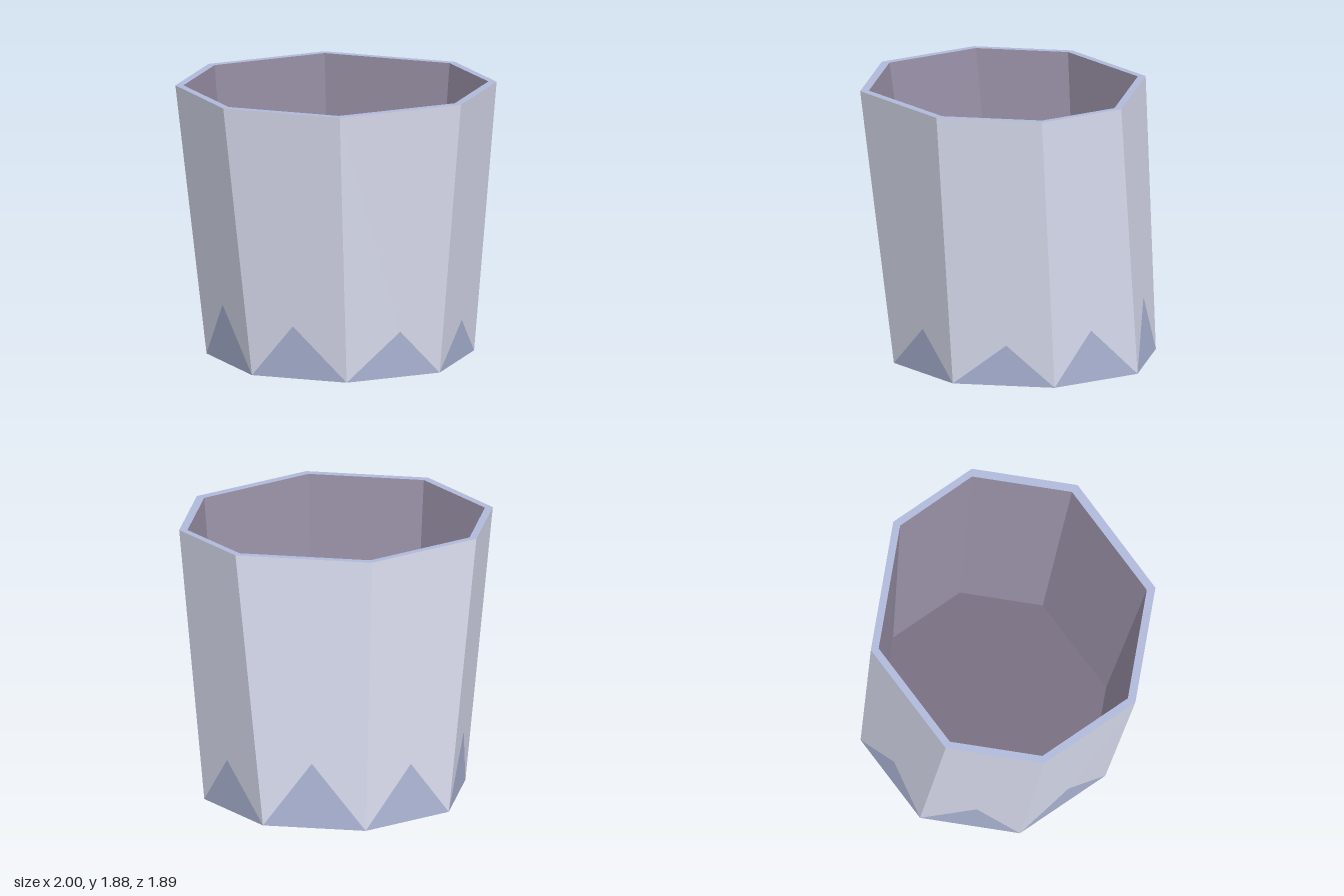
import * as THREE from 'three';

const TOP = 1.88, FLOOR = 0.05;

// Slightly irregular octagons as [x, z], starting at the front and turning towards +x
const ring = (points, y) => points.map(([x, z]) => new THREE.Vector3(x, y, z));
const outerTop = ring([[-0.47, 0.945], [0.36, 0.945], [1, 0.31], [1, -0.41], [0.54, -0.87], [-0.39, -0.87], [-1, -0.26], [-1, 0.41]], TOP);
const outerBottom = ring([[-0.345, 0.72], [0.33, 0.72], [0.82, 0.23], [0.82, -0.465], [0.34, -0.945], [-0.36, -0.945], [-0.845, -0.46], [-0.845, 0.22]], 0);
const innerTop = ring([[-0.45, 0.89], [0.335, 0.89], [0.945, 0.28], [0.945, -0.4], [0.52, -0.82], [-0.37, -0.82], [-0.95, -0.24], [-0.95, 0.39]], TOP);
const innerFloor = ring([[-0.41, 0.625], [0.26, 0.625], [0.77, 0.11], [0.77, -0.455], [0.38, -0.845], [-0.33, -0.83], [-0.83, -0.33], [-0.83, 0.2]], FLOOR);

// Peak of the painted triangle on each side: [fraction along the side, height]
const peaks = [[0.47, 0.37], [0.56, 0.32], [0.546, 0.285], [0.473, 0.36], [0.5, 0.45], [0.5, 0.4], [0.51, 0.44], [0.5, 0.42]];

function addPart(group, name, color, corners) {
  const geometry = new THREE.BufferGeometry().setFromPoints(corners);
  geometry.computeVertexNormals();
  const mesh = new THREE.Mesh(geometry, new THREE.MeshStandardMaterial({ color, flatShading: true }));
  mesh.name = name;
  group.add(mesh);
}

// Band of quads between two rings
function band(lower, upper) {
  return lower.flatMap((a, i) => {
    const j = (i + 1) % lower.length;
    return [a, lower[j], upper[j], a, upper[j], upper[i]];
  });
}

// Flat fan over a ring
function cap(points, down = false) {
  const out = [];
  for (let i = 1; i < points.length - 1; i++) {
    out.push(points[0], points[down ? i + 1 : i], points[down ? i : i + 1]);
  }
  return out;
}

export function createModel() {
  const group = new THREE.Group();
  group.name = 'planterPot';

  // Each outer side is split around its triangle peak
  const wall = [], triangles = [];
  peaks.forEach(([t, height], i) => {
    const j = (i + 1) % peaks.length;
    const bl = outerBottom[i], br = outerBottom[j], tl = outerTop[i], tr = outerTop[j];
    const low = bl.clone().lerp(br, t), high = tl.clone().lerp(tr, t);
    const peak = low.lerp(high, height / TOP);
    wall.push(peak, br, tr, peak, tr, tl, peak, tl, bl);
    triangles.push(bl, br, peak);
  });
  addPart(group, 'outerWall', 0xdcdff2, wall);
  addPart(group, 'baseTriangles', 0xb0b9da, triangles);

  // Rim, hollow inside and underside
  addPart(group, 'rim', 0xb0b9da, band(outerTop, innerTop));
  addPart(group, 'innerWall', 0x978ea4, band(innerTop, innerFloor));
  addPart(group, 'innerFloor', 0x786f82, cap(innerFloor));
  addPart(group, 'underside', 0x786f82, cap(outerBottom, true));
  return group;
}
